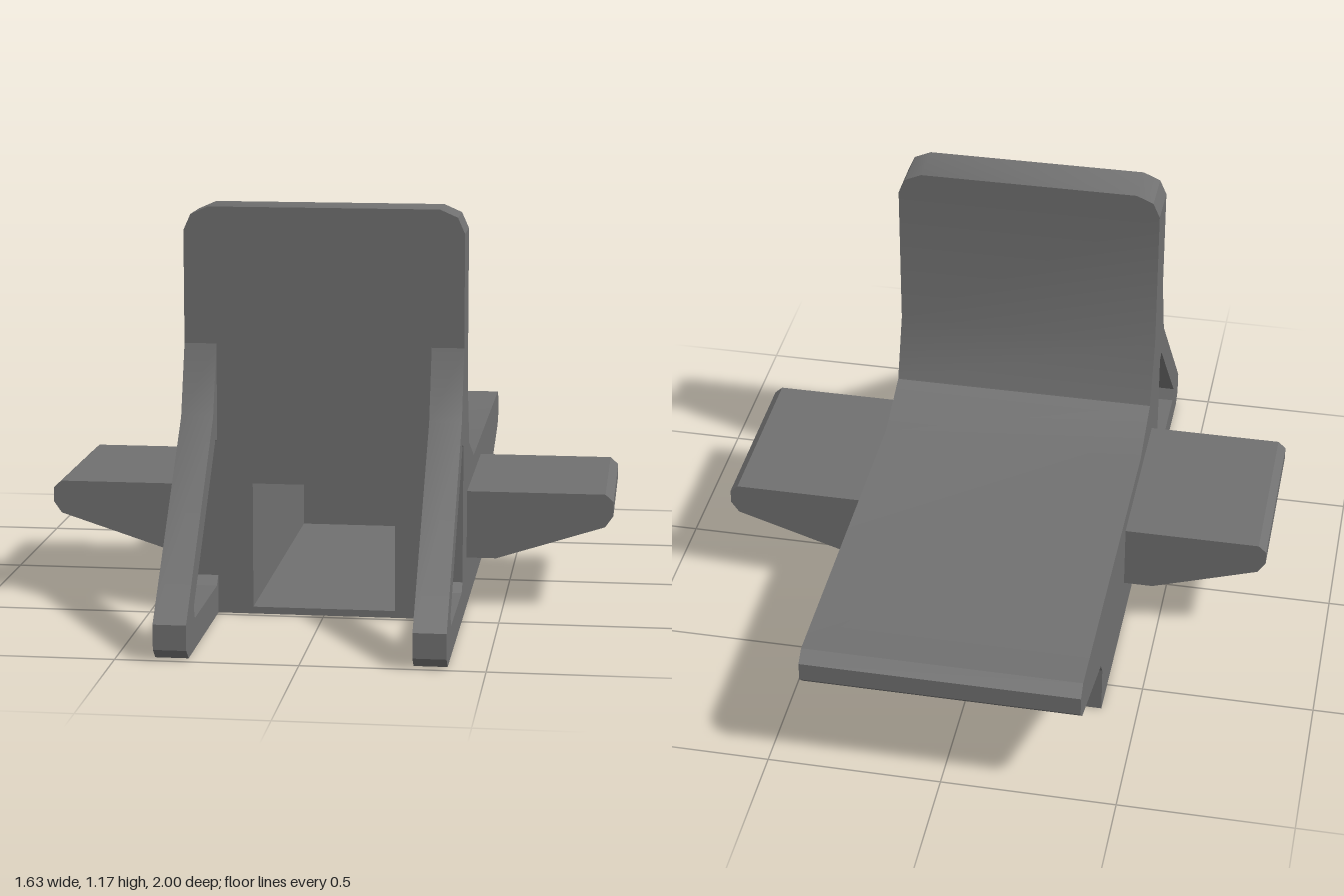
import * as THREE from 'three';
import { toCreasedNormals } from 'three/addons/utils/BufferGeometryUtils.js';

const HALF = 0.395;      // half width of the seat
const FRONT = 0.48;      // plane of the backrest's front face
const SPLIT = 1.1;       // height where the rounded top of the backrest begins
const LEG_IN = 0.304;    // inner side of the braces
const LEG_TOP = 0.78;    // height where the braces meet the backrest

const toShape = (pts) => new THREE.Shape(pts.map(([a, b]) => new THREE.Vector2(a, b)));

// Extrude an (x, y) outline from z0 to z1
function extrudeZ(pts, z0, z1) {
  return new THREE.ExtrudeGeometry(toShape(pts), { depth: z1 - z0, bevelEnabled: false }).translate(0, 0, z0);
}

// Extrude a (z, y) outline from x0 to x1
function extrudeX(pts, x0, x1) {
  return new THREE.ExtrudeGeometry(toShape(pts), { depth: x1 - x0, bevelEnabled: false })
    .rotateY(-Math.PI / 2).translate(x1, 0, 0);
}

// Remove the faces lying in the plane axis = value, where parts join
function dropPlane(geometry, axis, value) {
  const geo = geometry.index ? geometry.toNonIndexed() : geometry;
  const pos = geo.attributes.position;
  const keep = [];
  for (let i = 0; i < pos.count; i += 3) {
    const inPlane = [0, 1, 2].every((k) => Math.abs(pos.getComponent(i + k, axis) - value) < 1e-4);
    if (!inPlane) keep.push(i, i + 1, i + 2);
  }
  geo.setIndex(keep);
  geo.clearGroups();
  return geo;
}

export function createModel() {
  const model = new THREE.Group();
  model.name = 'chair';
  const darkGrey = new THREE.MeshStandardMaterial({ color: 0x707070 });
  const inside = new THREE.MeshStandardMaterial({ color: 0x707070, side: THREE.BackSide });
  // Shallow bends are shaded smooth, sharper edges stay crisp
  const add = (name, geometry, material = darkGrey) => {
    const mesh = new THREE.Mesh(toCreasedNormals(geometry, Math.PI / 6), material);
    mesh.name = name;
    model.add(mesh);
  };

  // Seat block with the straight part of the backrest
  const seat = extrudeX([
    [FRONT, 0], [FRONT, SPLIT], [0.34, SPLIT], [0.34, 0.655], [0.27, 0.47], [0.09, 0.398],
    [-0.965, 0.398], [-1, 0.37], [-1, 0.315], [-0.97, 0.285], [-0.64, 0.187],
    [-0.607, 0.143], [-0.607, 0],
  ], -HALF, HALF);
  add('seat', dropPlane(dropPlane(seat, 2, FRONT), 1, SPLIT));

  // Top of the backrest with rounded corners
  add('backrestTop', dropPlane(extrudeZ([
    [-HALF, SPLIT], [HALF, SPLIT], [0.375, 1.145], [0.325, 1.167],
    [-0.325, 1.167], [-0.375, 1.145],
  ], 0.34, FRONT), 1, SPLIT));

  // Front panel around the compartment opening, left out where the braces join
  const edge = [
    [LEG_IN, 0], [LEG_IN, 0.11], [HALF, 0.11], [HALF, 0.5], [LEG_IN, 0.5],
    [LEG_IN, LEG_TOP], [HALF, LEG_TOP], [HALF, SPLIT],
  ];
  const panel = toShape([...edge, ...edge.map(([x, y]) => [-x, y]).reverse()]);
  panel.holes.push(toShape([[-0.203, 0.02], [-0.203, 0.38], [0.203, 0.38], [0.203, 0.02]]));
  add('frontPanel', new THREE.ShapeGeometry(panel).translate(0, 0, FRONT));

  // Hollow compartment under the seat
  const depth = 1.06;
  const hollow = new THREE.BoxGeometry(0.406, 0.36, depth).translate(0, 0.2, FRONT - depth / 2);
  add('compartment', dropPlane(hollow, 2, FRONT), inside);

  // Open triangular braces and side wings, one of each per side
  const brace = [
    [FRONT, 0], [FRONT, 0.11], [0.505, 0.085], [0.865, 0.085], [0.88, 0.12], [0.51, 0.51],
    [FRONT, 0.5], [FRONT, LEG_TOP], [0.545, 0.58], [1, 0.1], [1, 0.03], [0.965, 0],
  ];
  const wing = [
    [HALF, 0.342], [0.79, 0.342], [0.813, 0.321], [0.813, 0.28], [0.79, 0.247], [0.48, 0.147], [HALF, 0.147],
  ];
  for (const [side, s] of [['left', 1], ['right', -1]]) {
    const x = [s * LEG_IN, s * HALF].sort((a, b) => a - b);
    add(side + 'Brace', dropPlane(extrudeX(brace, x[0], x[1]), 2, FRONT));
    add(side + 'Wing', dropPlane(extrudeZ(wing.map(([a, b]) => [s * a, b]), -0.2, 0.335), 0, s * HALF));
  }
  return model;
}
